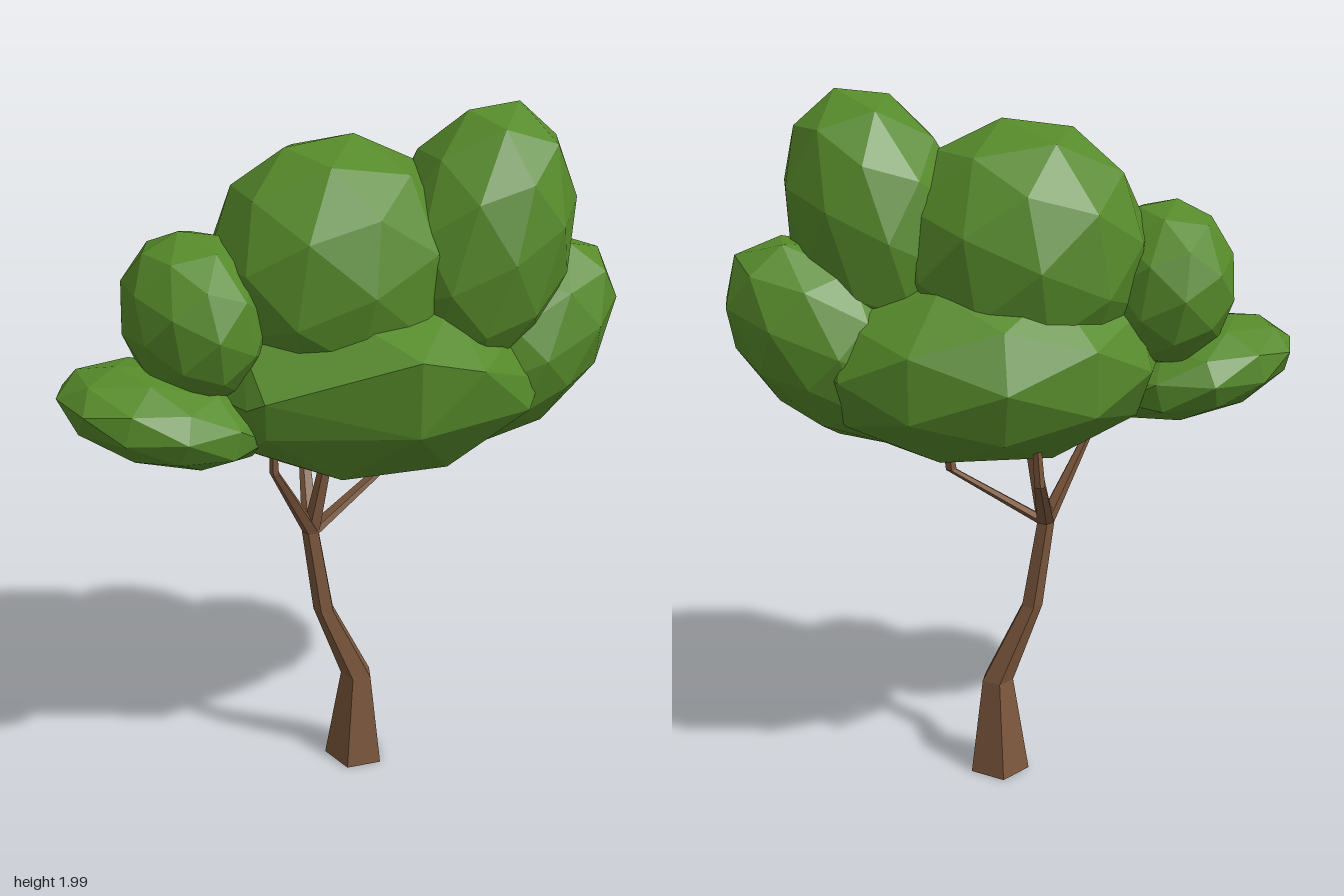
import * as THREE from 'three';
import { ConvexGeometry } from 'three/addons/geometries/ConvexGeometry.js';

const mat = (name, color) => {
  const m = new THREE.MeshStandardMaterial({ color, flatShading: true });
  m.name = name;
  return m;
};

// Five-sided limb swept through points of [x, y, z, radius]
function limbGeometry(points) {
  const n = points.length - 1;
  const geo = new THREE.CylinderGeometry(1, 1, 1, 5, n, false, Math.PI / 5);
  const pos = geo.attributes.position;
  for (let i = 0; i < pos.count; i++) {
    const [x, y, z, r] = points[Math.round((pos.getY(i) + 0.5) * n)];
    pos.setXYZ(i, x + pos.getX(i) * r * 0.88, y, z + pos.getZ(i) * r);
  }
  geo.computeVertexNormals();
  return geo;
}

// Faceted ellipsoid, tilted about z
function blobGeometry([x, y, z], [rx, ry, rz], tilt = 0) {
  return new THREE.IcosahedronGeometry(1, 1).scale(rx, ry, rz).rotateZ(tilt).translate(x, y, z);
}

export function createModel() {
  const tree = new THREE.Group();
  tree.name = 'tree';
  const bark = mat('bark brown', 0x7a563c);
  const leaf = mat('leaf green', 0x568a2a);

  const add = (name, geometry, material) => {
    const mesh = new THREE.Mesh(geometry, material);
    mesh.name = name;
    tree.add(mesh);
  };

  // Bent trunk
  add('trunk', limbGeometry([
    [0.052, 0, -0.028, 0.102],
    [0.055, 0.28, -0.02, 0.054],
    [-0.047, 0.51, -0.024, 0.036],
    [-0.085, 0.76, -0.027, 0.03],
    [-0.088, 0.81, -0.027, 0.022],
  ]), bark);

  // Branches fanning from the fork into the crown
  const branches = {
    leftBranch: [[0.19, 0.95, -0.07, 0.018], [0.21, 1.1, -0.07, 0.013]],
    rightBranch: [[-0.215, 0.99, 0.045, 0.016], [-0.22, 1.12, 0.05, 0.012]],
    backBranch: [[-0.03, 0.95, -0.265, 0.018], [-0.02, 1.1, -0.26, 0.013]],
    middleBranch: [[-0.045, 1.0, 0, 0.02], [-0.02, 1.12, 0.01, 0.016]],
  };
  for (const [name, tips] of Object.entries(branches)) {
    add(name, limbGeometry([[-0.085, 0.765, -0.027, 0.03], ...tips]), bark);
  }

  // Broad lower crown with a jutting front rim
  const base = blobGeometry([0.08, 1.25, 0], [0.5, 0.29, 0.43]).attributes.position;
  const hull = [];
  for (let i = 0; i < base.count; i++) {
    const p = new THREE.Vector3().fromBufferAttribute(base, i);
    if (p.z < 0.3) hull.push(p);
  }
  const rim = [
    [0.07, 1.4, 0.43], [-0.31, 1.28, 0.28], [0.27, 1.34, 0.38],
    [0.45, 1.18, 0.28], [0.08, 1.18, 0.4], [-0.3, 1.17, 0.25],
  ];
  hull.push(...rim.map((p) => new THREE.Vector3(...p)));
  add('lowerCrown', new ConvexGeometry(hull), leaf);

  // Leaf clumps: centre, radii, tilt
  const clumps = {
    leftClump: [[0.5, 1.31, 0.03], [0.36, 0.23, 0.25], 0.75],
    tallClump: [[0.36, 1.61, 0.08], [0.26, 0.4, 0.275], -0.3],
    centreClump: [[-0.02, 1.55, -0.01], [0.36, 0.37, 0.34], -0.15],
    smallClump: [[-0.42, 1.45, -0.01], [0.2, 0.24, 0.27], 0.15],
    rightClump: [[-0.52, 1.2, 0.03], [0.3, 0.13, 0.27], -0.25],
  };
  for (const [name, args] of Object.entries(clumps)) add(name, blobGeometry(...args), leaf);

  return tree;
}
